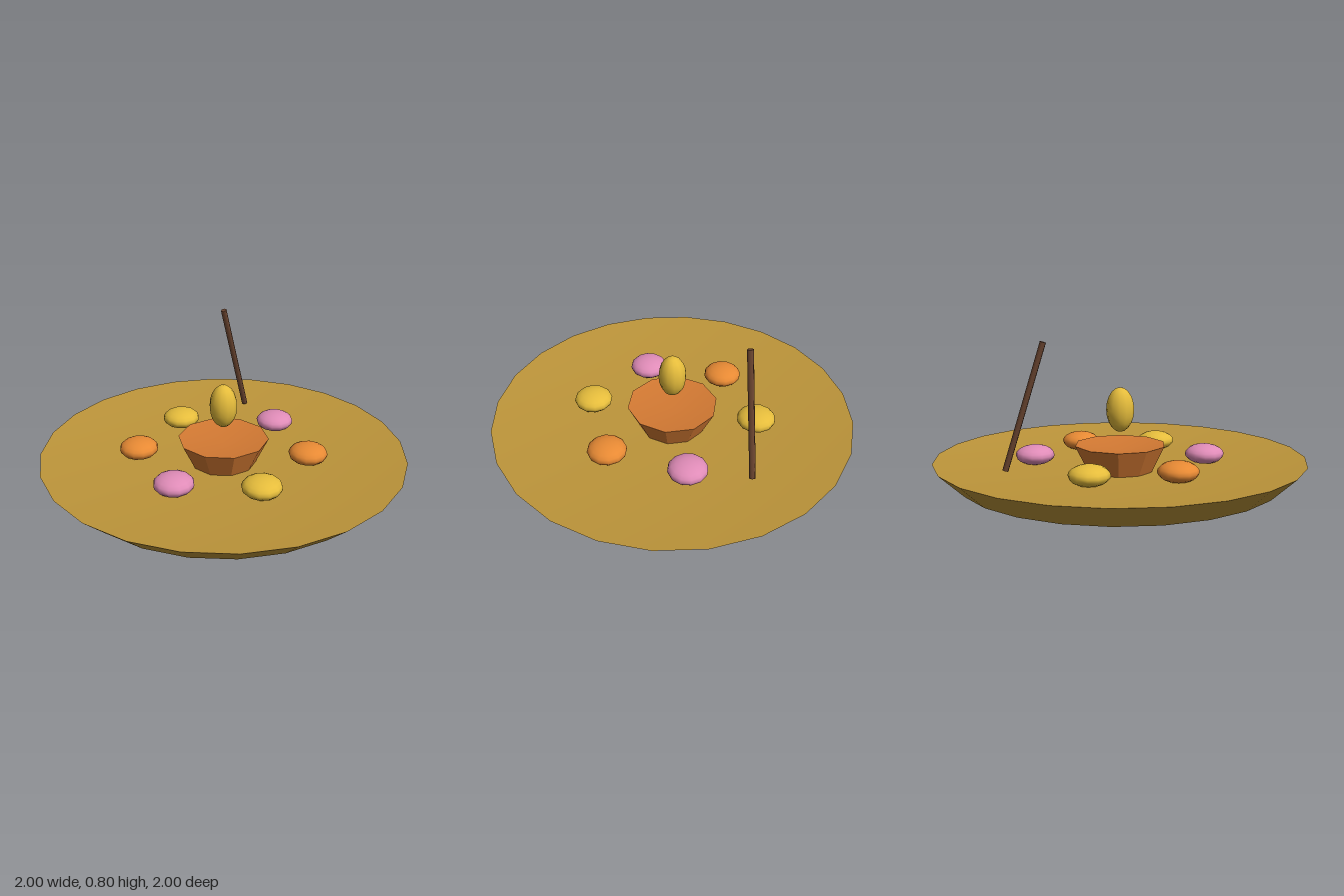
import * as THREE from 'three';
import { toCreasedNormals } from 'three/addons/utils/BufferGeometryUtils.js';

const paint = (color) => new THREE.MeshStandardMaterial({ color });

// Solid of revolution with sharp profile edges
function turned(name, profile, sides, color) {
  const lathe = new THREE.LatheGeometry(profile.map(([r, y]) => new THREE.Vector2(r, y)), sides);
  const mesh = new THREE.Mesh(toCreasedNormals(lathe, 0.4), paint(color));
  mesh.material.side = THREE.DoubleSide;
  mesh.name = name;
  return mesh;
}

// Sphere squashed or stretched along y
function ellipsoid(name, radius, halfHeight, color) {
  const geometry = new THREE.SphereGeometry(radius, 12, 10);
  geometry.scale(1, halfHeight / radius, 1);
  const mesh = new THREE.Mesh(geometry, paint(color));
  mesh.name = name;
  return mesh;
}

export function createModel() {
  const group = new THREE.Group();
  group.name = 'offeringPlate';

  // Shallow plate with a slightly dished top
  group.add(turned('plate', [[0, 0], [0.87, 0.035], [1, 0.157], [0, 0.06]], 24, 0xbd953a));

  // Ten-sided lamp bowl with a shallow hollow
  group.add(turned('lampBowl', [[0, 0.06], [0.175, 0.065], [0.25, 0.22], [0, 0.185]], 10, 0xd47a33));

  // Flame above the lamp
  const flame = ellipsoid('flame', 0.076, 0.122, 0xe6bd3c);
  flame.position.y = 0.41;
  group.add(flame);

  // Ring of blossoms, one radian apart
  const colors = [0xe08cb8, 0xe88a34, 0xe6bd3c];
  for (let i = 0; i < 6; i++) {
    const blossom = ellipsoid('blossom', 0.107, 0.054, colors[i % 3]);
    blossom.position.set(0.467 * Math.cos(i), 0.157, 0.467 * Math.sin(i));
    group.add(blossom);
  }

  // Leaning incense stick
  const stick = new THREE.Mesh(new THREE.CylinderGeometry(0.017, 0.017, 0.685, 6), paint(0x6b4530));
  stick.name = 'incenseStick';
  stick.position.set(0.47, 0.47, -0.315);
  stick.rotation.z = 0.3;
  group.add(stick);

  return group;
}
